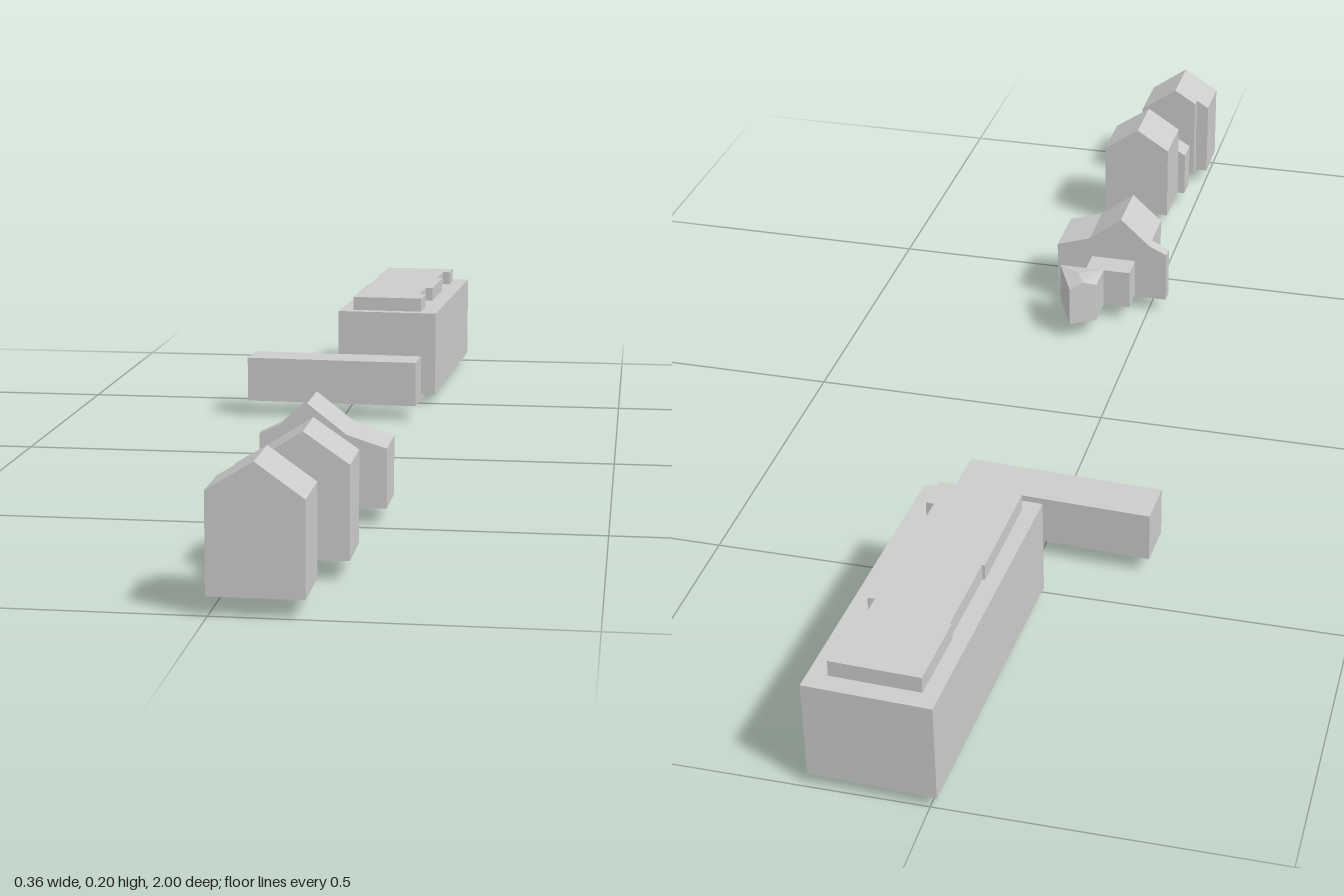
import * as THREE from 'three';
import { ConvexGeometry } from 'three/addons/geometries/ConvexGeometry.js';

const material = new THREE.MeshStandardMaterial({ color: 0xcccccc, flatShading: true });
const toShape = (pts) => new THREE.Shape(pts.map(([a, b]) => new THREE.Vector2(a, b)));

function addMesh(parent, name, geometry) {
  const mesh = new THREE.Mesh(geometry, material);
  mesh.name = name;
  parent.add(mesh);
}

// Upright block from a ground plan of [x, z] points
function addBlock(parent, name, plan, y0, y1) {
  const shape = toShape(plan.map(([x, z]) => [x, -z]));
  const g = new THREE.ExtrudeGeometry(shape, { depth: y1 - y0, bevelEnabled: false });
  g.rotateX(-Math.PI / 2).translate(0, y0, 0);
  addMesh(parent, name, g);
}

// House body: roof line of [x, y] points closed down to the floor, run from z0 to z1
function addHouse(parent, name, roof, floor, z0, z1) {
  const pts = [[roof[0][0], floor], ...roof, [roof[roof.length - 1][0], floor]];
  const g = new THREE.ExtrudeGeometry(toShape(pts), { depth: z1 - z0, bevelEnabled: false });
  g.translate(0, 0, z0);
  addMesh(parent, name, g);
}

const rect = (x0, x1, z0, z1) => [[x0, z0], [x1, z0], [x1, z1], [x0, z1]];

function addGroup(parent, name) {
  const g = new THREE.Group();
  g.name = name;
  parent.add(g);
  return g;
}

export function createModel() {
  const model = new THREE.Group();
  model.name = 'buildings';

  // Large hall with a stepped core showing above and below it
  const hall = addGroup(model, 'largeHall');
  addBlock(hall, 'hallBody', [[-0.01, -1], [0.177, -0.993], [0.154, -0.502], [-0.032, -0.51]], 0.017, 0.172);
  addBlock(hall, 'hallCore', [
    [0.013, -0.97], [0.147, -0.965], [0.145, -0.914], [0.131, -0.915], [0.127, -0.82],
    [0.138, -0.82], [0.132, -0.672], [0.119, -0.673], [0.114, -0.581], [0.127, -0.58],
    [0.124, -0.523], [-0.006, -0.53], [0.0, -0.71], [0.004, -0.71], [0.01, -0.85], [0.007, -0.85],
  ], 0, 0.197);

  // Long low block
  addBlock(model, 'lowBlock', [[-0.175, -0.415], [0.137, -0.4], [0.134, -0.326], [-0.178, -0.34]], 0.027, 0.107);

  // Front house with a notch in its back corner
  const front = addGroup(model, 'frontHouse');
  addHouse(front, 'frontHouseBody', [[-0.003, 0.165], [0.061, 0.204], [0.127, 0.157]], 0.026, 0.912, 1);
  addHouse(front, 'frontHouseBack', [[0.02, 0.179], [0.061, 0.204], [0.127, 0.157]], 0.026, 0.895, 0.912);

  // Second house with a small gabled porch
  const second = addGroup(model, 'secondHouse');
  addHouse(second, 'secondHouseBody', [[0.034, 0.166], [0.094, 0.204], [0.158, 0.16]], 0.027, 0.7, 0.801);
  addHouse(second, 'secondHousePorch', [[0.02, 0.11], [0.061, 0.135], [0.103, 0.11]], 0.027, 0.801, 0.845);

  // Third house: kinked roof, side lean-to and rear additions
  const third = addGroup(model, 'thirdHouse');
  addHouse(third, 'thirdHouseBody', [[0, 0.133], [0.053, 0.181], [0.112, 0.135], [0.172, 0.116]], 0.025, 0.379, 0.48);
  addHouse(third, 'sideLeanTo', [[-0.032, 0.118], [0, 0.133]], 0.025, 0.379, 0.402);
  addBlock(third, 'rearBox', rect(0.026, 0.107, 0.332, 0.379), 0.028, 0.099);

  // Angled shed with a half-hipped roof
  const plan = [[0.073, 0.271], [0.116, 0.244], [0.154, 0.328], [0.073, 0.328]];
  const corners = [0.03, 0.102].flatMap((y) => plan.map(([x, z]) => new THREE.Vector3(x, y, z)));
  const ridge = [new THREE.Vector3(0.11, 0.112, 0.29), new THREE.Vector3(0.095, 0.112, 0.2575)];
  addMesh(third, 'angledShed', new ConvexGeometry([...corners, ...ridge]));

  return model;
}
